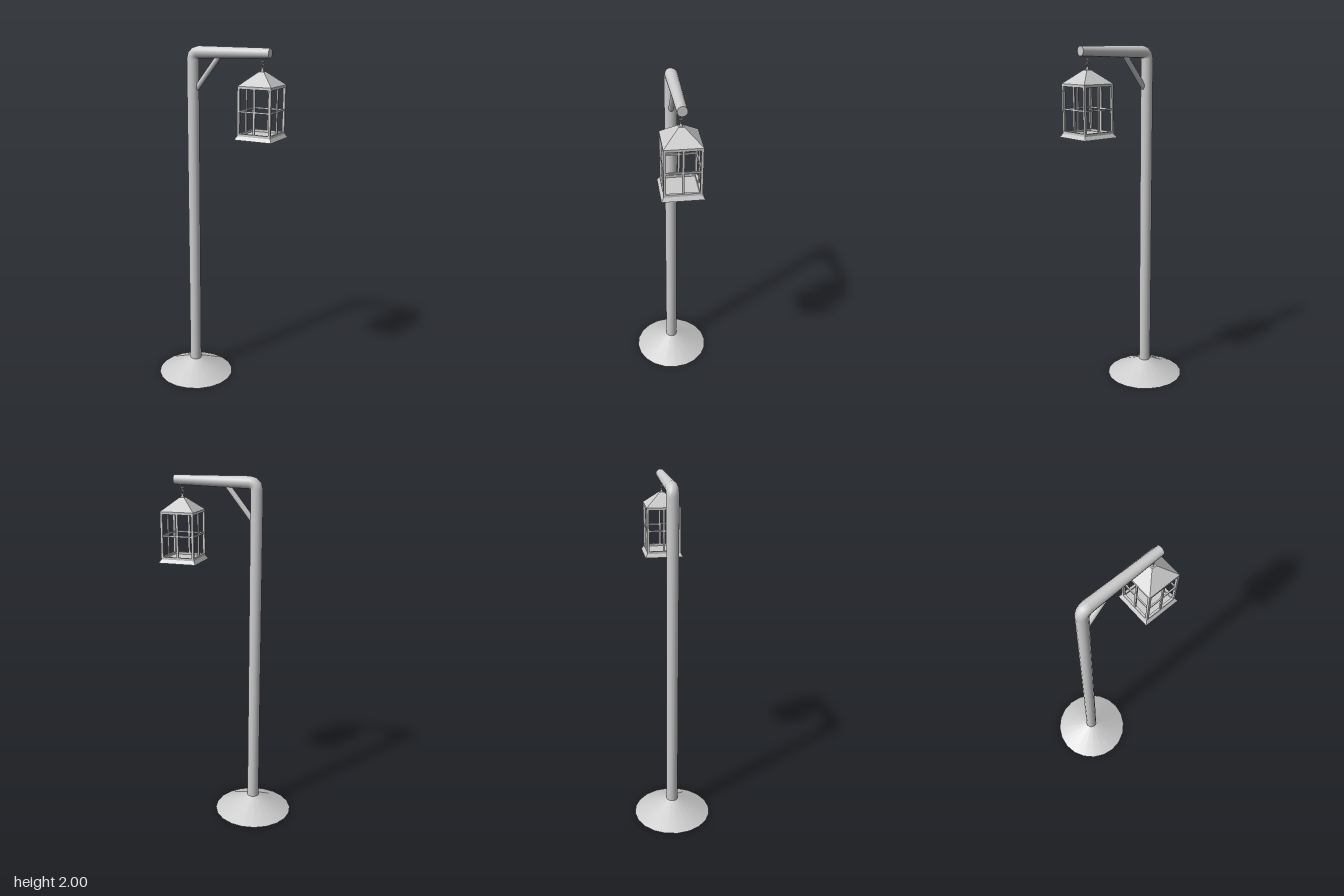
import * as THREE from 'three';

const material = new THREE.MeshStandardMaterial({ color: 0xcccccc });
const flat = new THREE.MeshStandardMaterial({ color: 0xcccccc, flatShading: true });
const POLE_X = -0.154;
const LANTERN_X = 0.271;

function add(parent, name, geometry, x = 0, y = 0, z = 0, mat = material) {
  const mesh = new THREE.Mesh(geometry, mat);
  mesh.name = name;
  mesh.position.set(x, y, z);
  parent.add(mesh);
  return mesh;
}

const bar = (parent, name, w, h, d, x, y, z) =>
  add(parent, name, new THREE.BoxGeometry(w, h, d), x, y, z);

// Square frustum given by half-widths, standing on y = 0
function squareFrustum(bottom, top, height) {
  return new THREE.CylinderGeometry(top * Math.SQRT2, bottom * Math.SQRT2, height, 4)
    .rotateY(Math.PI / 4)
    .translate(0, height / 2, 0);
}

// Skin over rings [x, y, radius, lean], lean 0 = upright, PI/2 = pointing +x
function loft(rings, sides) {
  const positions = [];
  const indices = [];
  rings.forEach(([x, y, r, lean], i) => {
    for (let s = 0; s < sides; s++) {
      const t = (s / sides) * Math.PI * 2;
      const u = Math.cos(t) * r;
      positions.push(x + u * Math.cos(lean), y - u * Math.sin(lean), Math.sin(t) * r);
      if (i === rings.length - 1) continue;
      const a = i * sides + s;
      const c = i * sides + (s + 1) % sides;
      indices.push(a, a + sides, c, a + sides, c + sides, c);
    }
  });
  const geometry = new THREE.BufferGeometry();
  geometry.setAttribute('position', new THREE.Float32BufferAttribute(positions, 3));
  geometry.setIndex(indices);
  geometry.computeVertexNormals();
  return geometry;
}

function createLantern() {
  const lantern = new THREE.Group();
  lantern.name = 'lantern';
  const half = 0.097;
  const post = 0.013;
  const edge = half - post / 2;

  // Flared tray, rim and roof
  add(lantern, 'tray', squareFrustum(0.109, half, 0.02), 0, 1.524, 0, flat);
  add(lantern, 'roof', squareFrustum(half, 0.014, 0.071), 0, 1.806, 0, flat);

  // Four identical sides: corner post, rails, and a crossed window grille
  for (let i = 0; i < 4; i++) {
    const side = new THREE.Group();
    side.name = 'lanternSide';
    side.rotation.y = (i * Math.PI) / 2;
    bar(side, 'cornerPost', post, 0.256, post, edge, 1.672, edge);
    bar(side, 'lowerRail', half * 2, 0.014, post, 0, 1.55, edge);
    bar(side, 'upperRail', half * 2, 0.014, post, 0, 1.799, edge);
    bar(side, 'windowUpright', 0.012, 0.24, 0.008, 0, 1.674, edge);
    bar(side, 'windowCrossbar', half * 2 - post, 0.009, 0.008, 0, 1.674, edge);
    lantern.add(side);
  }

  // Hanging stem and chain links
  add(lantern, 'stem', new THREE.CylinderGeometry(0.005, 0.009, 0.022, 8), 0, 1.886, 0);
  [1.904, 1.921, 1.939].forEach((y, i) => {
    const link = add(lantern, 'chainLink', new THREE.TorusGeometry(0.01, 0.003, 6, 14), 0, y, 0);
    link.scale.y = 1.2;
    link.rotation.y = (i % 2) * Math.PI / 2;
  });

  lantern.position.x = LANTERN_X;
  return lantern;
}

export function createModel() {
  const model = new THREE.Group();
  model.name = 'lanternPost';

  // Conical foot
  add(model, 'foot', new THREE.CylinderGeometry(0.034, 0.229, 0.092, 20), POLE_X, 0.046, 0);

  // Pole bending into the tapering arm
  const r = 0.034;
  const bend = 0.037;
  const bendY = 1.929;
  const rings = [[POLE_X, 0.05, r, 0]];
  for (let i = 0; i <= 3; i++) {
    const a = (i / 3) * Math.PI / 2;
    rings.push([POLE_X + bend * (1 - Math.cos(a)), bendY + bend * Math.sin(a), r, a]);
  }
  rings.push([0.315, 1.972, 0.026, Math.PI / 2]);
  add(model, 'poleAndArm', loft(rings, 16), 0, 0, 0);
  const cap = add(model, 'armEndCap', new THREE.CircleGeometry(0.026, 16), 0.315, 1.972, 0);
  cap.rotation.y = Math.PI / 2;

  // Diagonal brace
  const from = new THREE.Vector3(-0.135, 1.765, 0);
  const to = new THREE.Vector3(0.02, 1.96, 0);
  const span = to.clone().sub(from);
  const brace = add(model, 'brace', new THREE.CylinderGeometry(0.015, 0.015, span.length(), 12));
  brace.position.copy(from).addScaledVector(span, 0.5);
  brace.quaternion.setFromUnitVectors(new THREE.Vector3(0, 1, 0), span.normalize());

  model.add(createLantern());
  return model;
}
